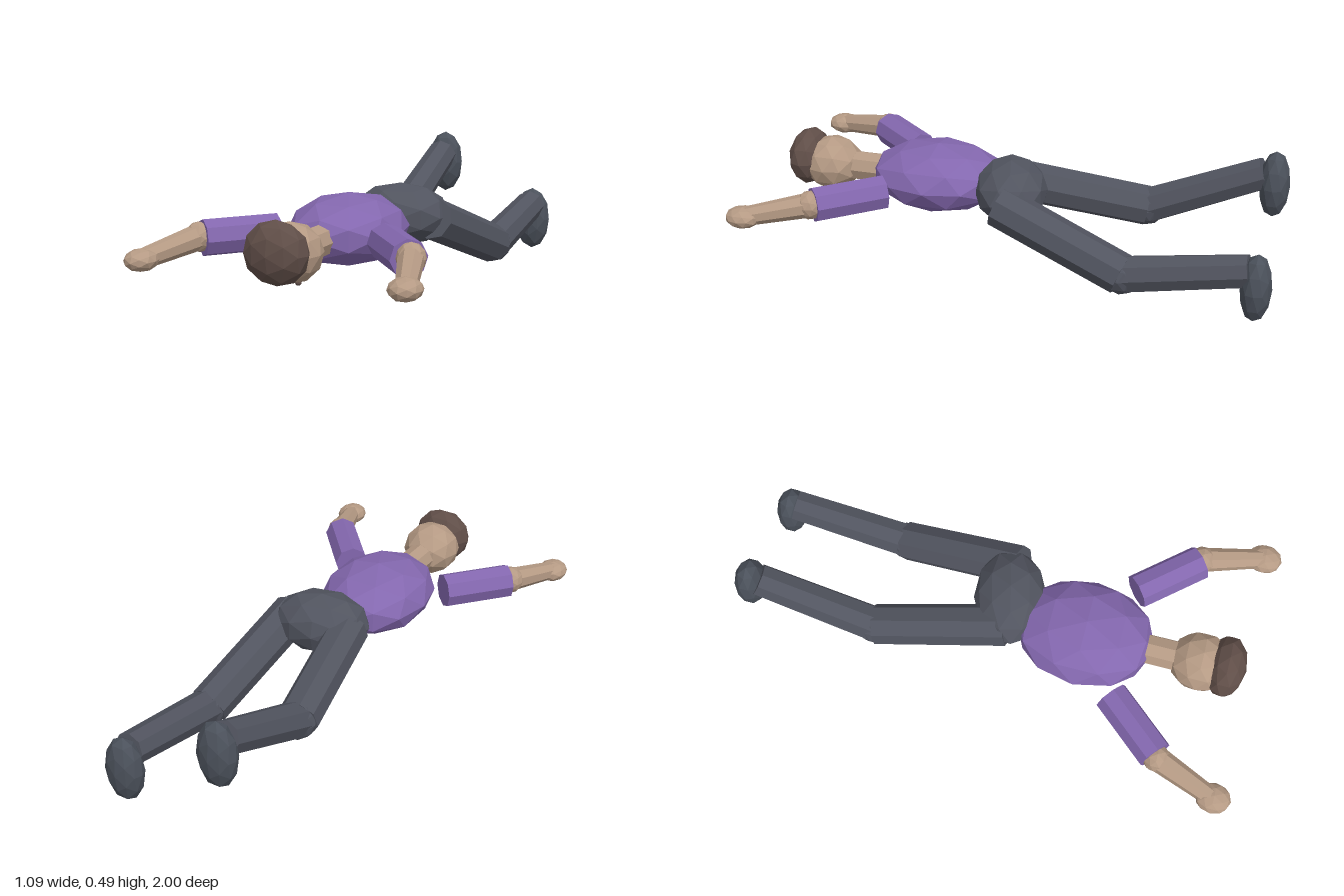
import * as THREE from 'three';

const paint = (name, color) => {
  const m = new THREE.MeshStandardMaterial({ color, flatShading: true });
  m.name = name;
  return m;
};

export function createModel() {
  const purple = paint('purple shirt', 0x8367ae);
  const slate = paint('slate trousers', 0x51545f);
  const shoe = paint('dark shoes', 0x4b515b);
  const skin = paint('skin', 0xb59a84);
  const brown = paint('brown hair', 0x604e48);

  const model = new THREE.Group();
  model.name = 'lyingFigure';

  const add = (parent, name, geometry, material) => {
    const mesh = new THREE.Mesh(geometry, material);
    mesh.name = name;
    parent.add(mesh);
    return mesh;
  };

  // Faceted ellipsoid with the given half sizes
  const blob = (parent, name, material, pos, radii) => {
    const g = new THREE.IcosahedronGeometry(1, 1).scale(...radii);
    const mesh = add(parent, name, g, material);
    mesh.position.set(...pos);
    return mesh;
  };

  // Eight-sided tapered limb from a to b
  const limb = (parent, name, material, a, b, ra, rb) => {
    const start = new THREE.Vector3(...a), end = new THREE.Vector3(...b);
    const dir = end.clone().sub(start);
    const mesh = add(parent, name, new THREE.CylinderGeometry(rb, ra, dir.length(), 8), material);
    mesh.position.copy(start).add(end).multiplyScalar(0.5);
    mesh.quaternion.setFromUnitVectors(new THREE.Vector3(0, 1, 0), dir.normalize());
    return mesh;
  };

  // Trunk, lying face down along z
  blob(model, 'torso', purple, [0, 0.303, 0.33], [0.21, 0.13, 0.27]);
  blob(model, 'pelvis', slate, [0.068, 0.306, 0.02], [0.19, 0.12, 0.14]).rotation.y = 0.25;
  limb(model, 'neck', skin, [0, 0.3, 0.55], [0, 0.3, 0.7], 0.058, 0.058);

  // Head with a cap of hair over the crown and eyes underneath
  const head = new THREE.Group();
  head.name = 'head';
  model.add(head);
  blob(head, 'skull', skin, [0, 0.302, 0.775], [0.114, 0.107, 0.12]);
  blob(head, 'hair', brown, [0, 0.32, 0.87], [0.12, 0.112, 0.077]);
  for (const s of [-1, 1]) blob(head, 'eye', brown, [s * 0.04, 0.208, 0.795], [0.011, 0.011, 0.011]);

  // Arms, mirrored and reaching forward
  for (const s of [-1, 1]) {
    const arm = new THREE.Group();
    arm.name = s > 0 ? 'leftArm' : 'rightArm';
    model.add(arm);
    const elbow = [s * 0.405, 0.305, 0.695], wrist = [s * 0.487, 0.265, 0.925];
    limb(arm, 'sleeve', purple, [s * 0.214, 0.301, 0.48], [s * 0.394, 0.301, 0.688], 0.067, 0.067);
    blob(arm, 'elbow', skin, elbow, [0.052, 0.055, 0.052]);
    limb(arm, 'forearm', skin, elbow, wrist, 0.047, 0.036);
    blob(arm, 'hand', skin, [s * 0.488, 0.263, 0.93], [0.058, 0.04, 0.067]);
  }

  // Legs, bent at the knees, the right one higher
  const legs = [
    { name: 'leftLeg', hip: [0.205, 0.3, 0.03], knee: [0.267, 0.115, -0.455], ankle: [0.27, 0.197, -0.915], foot: 0.133 },
    { name: 'rightLeg', hip: [-0.045, 0.3, 0.03], knee: [-0.138, 0.21, -0.465], ankle: [-0.14, 0.4, -0.905], foot: 0.358 },
  ];
  for (const { name, hip, knee, ankle, foot } of legs) {
    const leg = new THREE.Group();
    leg.name = name;
    model.add(leg);
    limb(leg, 'thigh', slate, hip, knee, 0.08, 0.078);
    blob(leg, 'knee', slate, knee, [0.074, 0.074, 0.074]);
    limb(leg, 'shin', slate, knee, ankle, 0.07, 0.062);
    blob(leg, 'foot', shoe, [ankle[0], foot, -0.941], [0.077, 0.132, 0.058]);
  }

  return model;
}
